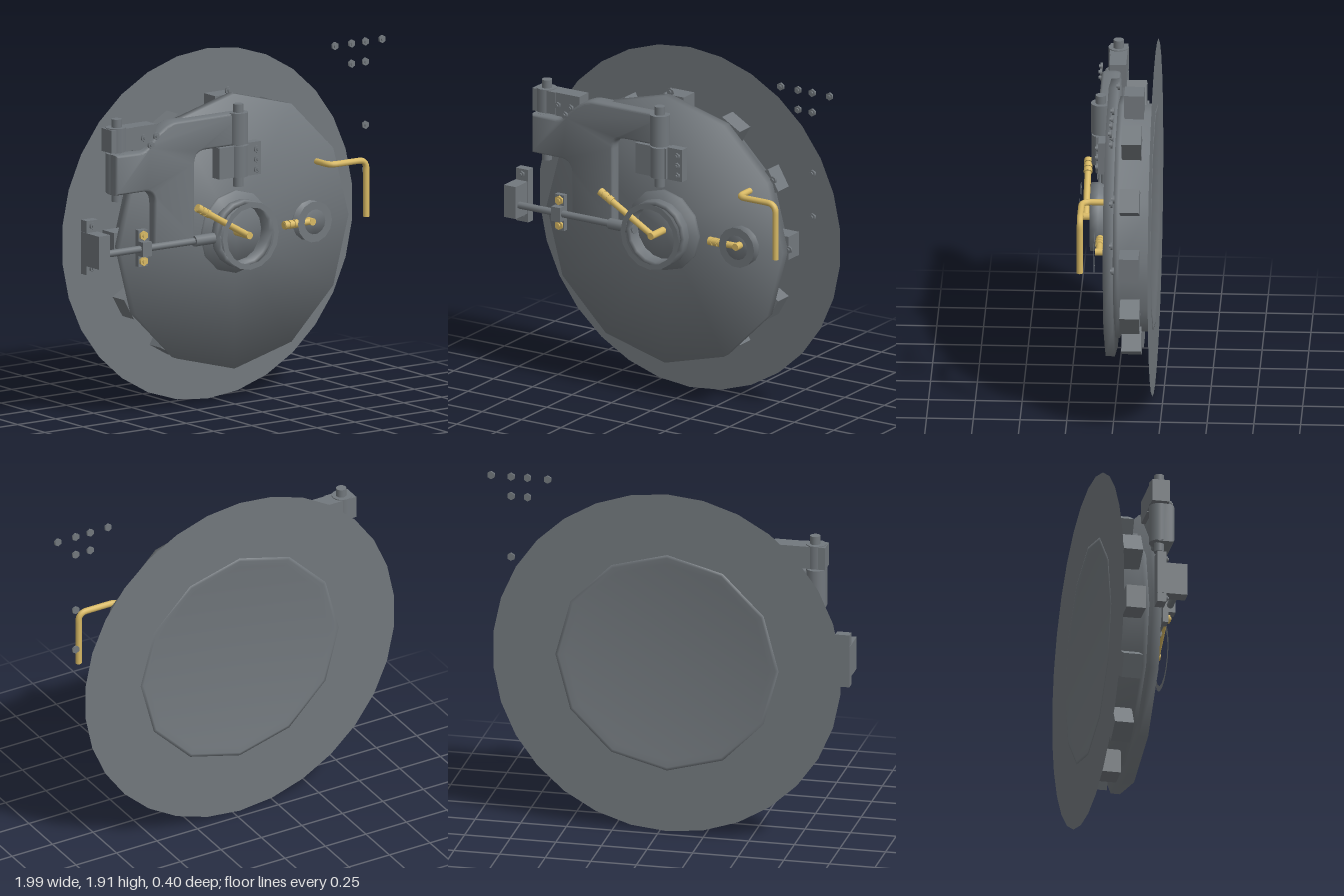
import * as THREE from 'three';
import { toCreasedNormals, mergeGeometries } from 'three/addons/utils/BufferGeometryUtils.js';

const CX = -0.04, CY = 0.955; // hatch axis

export function createModel() {
  const root = new THREE.Group();
  root.name = 'hatch';
  const steel = new THREE.MeshStandardMaterial({ color: 0x72787d });
  steel.name = 'steel';
  const steelSheet = steel.clone();
  steelSheet.name = 'steel';
  steelSheet.side = THREE.DoubleSide;
  const brass = new THREE.MeshStandardMaterial({ color: 0xd8b964 });
  brass.name = 'brass';

  const add = (name, geo, mat, x = 0, y = 0, z = 0) => {
    const mesh = new THREE.Mesh(geo, mat);
    mesh.name = name;
    mesh.position.set(x, y, z);
    root.add(mesh);
    return mesh;
  };
  const box = (name, x0, x1, y0, y1, z0, z1, mat = steel) =>
    add(name, new THREE.BoxGeometry(x1 - x0, y1 - y0, z1 - z0), mat, (x0 + x1) / 2, (y0 + y1) / 2, (z0 + z1) / 2);
  const upright = (name, r, x, y0, y1, z, sides = 16) =>
    add(name, new THREE.CylinderGeometry(r, r, y1 - y0, sides), steel, x, (y0 + y1) / 2, z);

  // Solid turned about z from [radius, z] points, with normals softened across every edge
  const turned = (points, sides) => {
    const geo = new THREE.LatheGeometry(points.map(([r, z]) => new THREE.Vector2(r, z)), sides);
    const seg = points.slice(1).map(([r, z], i) => new THREE.Vector2(z - points[i][1], points[i][0] - r).normalize());
    const normal = geo.attributes.normal;
    for (let i = 0; i < normal.count; i++) {
      const j = i % points.length, a = Math.floor(i / points.length) / sides * Math.PI * 2;
      const n = (seg[j - 1] ?? seg[j]).clone().add(seg[j] ?? seg[j - 1]).normalize();
      normal.setXYZ(i, n.x * Math.sin(a), n.y, n.x * Math.cos(a));
    }
    return geo.rotateX(Math.PI / 2);
  };
  const tube = (name, pts, r, mat) => {
    const path = new THREE.CurvePath();
    const v = pts.map(p => new THREE.Vector3(...p));
    let from = v[0];
    // straight runs joined by short bends
    for (let i = 1; i < v.length - 1; i++) {
      const a = v[i].clone().add(v[i - 1].clone().sub(v[i]).setLength(0.05));
      const b = v[i].clone().add(v[i + 1].clone().sub(v[i]).setLength(0.05));
      path.add(new THREE.LineCurve3(from, a));
      path.add(new THREE.QuadraticBezierCurve3(v[i], v[i], b));
      path.curves[path.curves.length - 1].v0 = a;
      from = b;
    }
    path.add(new THREE.LineCurve3(from, v[v.length - 1]));
    add(name, new THREE.TubeGeometry(path, 48, r, 10), mat);
    for (const [end, other] of [[v[0], v[1]], [v[v.length - 1], v[v.length - 2]]]) {
      const cap = add(name + 'End', new THREE.CircleGeometry(r, 10), mat, end.x, end.y, end.z);
      cap.lookAt(end.clone().multiplyScalar(2).sub(other));
    }
  };
  const bolt = (name, x, y, z, r = 0.02, mat = steel) => {
    const head = new THREE.CylinderGeometry(r, r, 0.012, 6).rotateX(Math.PI / 2);
    const tip = new THREE.CylinderGeometry(r * 0.5, r * 0.5, 0.012, 8).rotateX(Math.PI / 2).translate(0, 0, 0.008);
    add(name, mergeGeometries([head, tip]), mat, x, y, z);
  };

  // Wall plate, frame and door
  add('wallPlate', new THREE.RingGeometry(0.59, 0.957, 30, 1, Math.PI / 30), steelSheet, CX, CY, -0.2);
  add('hatchFrame', turned([[0, -0.194], [0.56, -0.194], [0.595, -0.202], [0.612, -0.2], [0.615, -0.04],
    [0.65, -0.025], [0.65, 0.002], [0, 0.002]], 12), steel, CX, CY);
  add('door', turned([[0, 0], [0.75, 0], [0.75, 0.05], [0, 0.05]], 12), steel, CX, CY);

  // Locking lugs around the frame
  for (let i = 0; i < 12; i++) {
    const a = i * Math.PI / 6;
    const lug = add('lockingLug', new THREE.BoxGeometry(0.15, 0.13, 0.105), steel,
      CX + 0.655 * Math.cos(a), CY + 0.655 * Math.sin(a), -0.088);
    lug.rotation.z = a;
  }

  // Hinge arm
  const s = new THREE.Shape();
  s.moveTo(-0.84, 1.27);
  s.lineTo(-0.66, 1.27);
  s.quadraticCurveTo(-0.585, 1.26, -0.585, 1.18);
  s.lineTo(-0.585, 0.97);
  s.lineTo(-0.35, 0.97);
  s.lineTo(-0.35, 1.37);
  s.quadraticCurveTo(-0.35, 1.45, -0.26, 1.45);
  s.lineTo(-0.03, 1.45);
  s.lineTo(-0.03, 1.6);
  s.lineTo(-0.45, 1.6);
  s.quadraticCurveTo(-0.53, 1.6, -0.63, 1.49);
  s.quadraticCurveTo(-0.66, 1.46, -0.7, 1.46);
  s.lineTo(-0.84, 1.46);
  const arm = new THREE.ExtrudeGeometry(s, { depth: 0.05, bevelThickness: 0.025, bevelSize: 0.015, bevelSegments: 4, curveSegments: 8 });
  add('hingeArm', toCreasedNormals(arm, 0.7), steel, 0, 0, 0.03);

  // Outer hinge
  upright('outerHingePin', 0.028, -0.8, 1.21, 1.66, 0.03);
  upright('outerHingeBarrel', 0.055, -0.805, 1.485, 1.615, 0.03);
  upright('outerArmKnuckle', 0.055, -0.805, 1.26, 1.475, 0.03);
  box('outerHingeBlock', -0.865, -0.72, 1.485, 1.61, -0.02, 0.075);
  box('outerHingePlate', -0.72, -0.57, 1.48, 1.61, -0.02, 0.07);
  for (const [x, y] of [[-0.68, 1.555], [-0.6, 1.555], [-0.635, 1.51]]) bolt('hingeBolt', x, y, 0.115);

  // Inner hinge
  upright('innerHingePin', 0.028, -0.045, 1.21, 1.66, 0.092);
  upright('innerArmKnuckle', 0.055, -0.045, 1.445, 1.615, 0.09);
  upright('innerHingeBarrel', 0.052, -0.045, 1.265, 1.435, 0.09);
  box('innerHingeBlock', -0.185, 0.01, 1.265, 1.435, 0.045, 0.115);
  box('innerHingePlate', 0.01, 0.1, 1.26, 1.44, 0.045, 0.1);
  for (const y of [1.29, 1.345, 1.4]) bolt('hingeBolt', 0.07, y, 0.105);

  // Latch rod, its guide and its wall stop
  const rodY = 0.95, rodZ = 0.11;
  tube('latchRod', [[-0.94, rodY, rodZ], [-0.2, rodY, rodZ]], 0.019, steel);
  tube('rodSleeve', [[-0.35, rodY, rodZ], [-0.19, rodY, rodZ]], 0.03, steel);
  box('rodGuide', -0.705, -0.648, 0.85, 1.05, 0.07, 0.1);
  box('rodGuideCap', -0.705, -0.648, 0.91, 0.99, 0.1, 0.14);
  for (const y of [0.88, 1.02]) bolt('guideBolt', -0.676, y, 0.106, 0.026, brass);
  box('rodStop', -1.0, -0.925, 0.88, 1.06, -0.02, 0.145);
  box('rodStopFlange', -0.998, -0.92, 0.83, 1.125, -0.02, 0.03);
  for (const y of [0.865, 1.095]) bolt('stopBolt', -0.96, y, 0.035);

  // Main hub with its rim and lever
  add('hubFlange', turned([[0, 0.04], [0.225, 0.04], [0.225, 0.066], [0, 0.066]], 12), steel, CX, CY);
  add('hubDrum', turned([[0.16, 0.06], [0.185, 0.1], [0.185, 0.145], [0.16, 0.145], [0.155, 0.08]], 16), steelSheet, CX, CY);
  add('hubRim', new THREE.RingGeometry(0.155, 0.185, 16), steelSheet, CX, CY, 0.2);

  // Small hub
  add('smallHubBase', turned([[0, 0.045], [0.11, 0.045], [0.11, 0.056], [0, 0.056]], 14), steel, 0.45, CY);
  add('smallHubRim', new THREE.RingGeometry(0.068, 0.112, 14), steelSheet, 0.45, CY, 0.105);

  // Brass levers: a shaft out of the door, an arm and a ribbed grip
  const lever = (x, y, z, length, angle) => {
    const g = new THREE.Group();
    g.name = 'lever';
    const cyl = (name, r, l, mid) => {
      const m = new THREE.Mesh(new THREE.CylinderGeometry(r, r, l, 10).rotateZ(Math.PI / 2), brass);
      m.name = name;
      m.position.x = mid;
      g.add(m);
    };
    cyl('leverArm', 0.018, length, length / 2);
    for (let i = 0; i < 3; i++) cyl('leverGrip', 0.023, 0.024, length - 0.014 - i * 0.032);
    const shaft = new THREE.Mesh(new THREE.CylinderGeometry(0.02, 0.02, z - 0.03, 10).rotateX(Math.PI / 2), brass);
    shaft.name = 'leverShaft';
    shaft.position.z = (0.07 - z) / 2;
    g.add(shaft);
    g.position.set(x, y, z);
    g.rotation.z = angle;
    root.add(g);
  };
  lever(CX, CY, 0.172, 0.385, Math.PI - 0.52);
  lever(0.44, CY, 0.082, 0.18, Math.PI);

  // Bent brass grab handle
  tube('grabHandle', [[0.5, 1.27, 0.04], [0.5, 1.27, 0.17], [0.74, 1.27, 0.17], [0.74, 0.96, 0.17]], 0.017, brass);

  // Loose bolts in the wall plane and at the door edge
  for (const [x, y] of [[0.66, 1.87], [0.77, 1.87], [0.86, 1.87], [0.97, 1.87], [0.77, 1.76], [0.86, 1.76],
    [0.86, 1.415], [0.86, 1.17], [-0.04, 1.715], [0.61, 1.335], [0.71, 0.96]]) bolt('wallBolt', x, y, -0.005, 0.022);

  return root;
}
